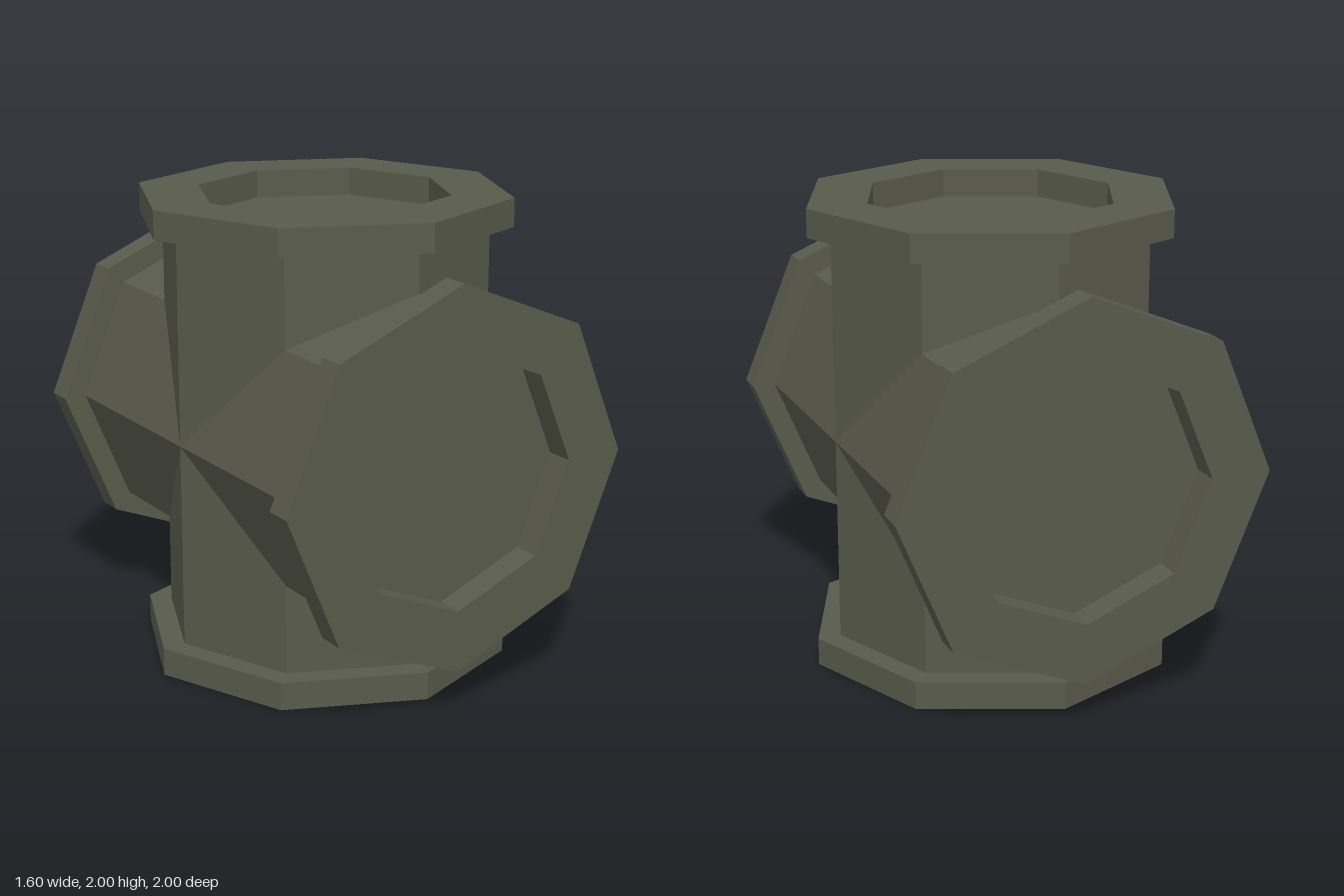
import * as THREE from 'three';

const SIDES = 8, PIPE_R = 0.7, FLANGE_R = 0.8, BORE_R = 0.54, REACH = 1, FLANGE_T = 0.12;

// Octagon outline with a corner on each axis
function octagon(radius) {
  return Array.from({ length: SIDES }, (_, i) => {
    const a = (i / SIDES) * Math.PI * 2;
    return new THREE.Vector2(Math.cos(a) * radius, Math.sin(a) * radius);
  });
}

// Pipe arm along +y whose inner end is mitred at 45 degrees to meet its neighbours
function pipeGeometry() {
  const geo = new THREE.CylinderGeometry(PIPE_R, PIPE_R, 1, SIDES, 1, true);
  const p = geo.attributes.position;
  for (let i = 0; i < p.count; i++) {
    p.setY(i, p.getY(i) > 0 ? REACH - FLANGE_T : Math.abs(p.getZ(i)));
  }
  const flat = geo.toNonIndexed();
  flat.computeVertexNormals();
  return flat;
}

// Octagonal ring with a straight-walled recess
function flangeGeometry() {
  const shape = new THREE.Shape(octagon(FLANGE_R));
  shape.holes.push(new THREE.Path(octagon(BORE_R)));
  return new THREE.ExtrudeGeometry(shape, { depth: FLANGE_T, bevelEnabled: false })
    .rotateX(-Math.PI / 2)
    .translate(0, REACH - FLANGE_T, 0);
}

// Closed floor of the recess
function floorGeometry() {
  return new THREE.CircleGeometry(BORE_R, SIDES)
    .rotateX(-Math.PI / 2)
    .translate(0, REACH - FLANGE_T, 0);
}

export function createModel() {
  const model = new THREE.Group();
  model.name = 'pipeCross';
  const olive = new THREE.MeshStandardMaterial({ color: 0x585a4a });
  olive.name = 'dark olive';

  const parts = { pipe: pipeGeometry(), flange: flangeGeometry(), recessFloor: floorGeometry() };

  // Four identical arms: up, front, down, back
  ['top', 'front', 'bottom', 'back'].forEach((side, i) => {
    const arm = new THREE.Group();
    arm.name = `${side}Arm`;
    for (const [name, geo] of Object.entries(parts)) {
      const mesh = new THREE.Mesh(geo, olive);
      mesh.name = `${side} ${name}`;
      arm.add(mesh);
    }
    arm.rotation.x = (i * Math.PI) / 2;
    arm.position.y = 1;
    model.add(arm);
  });
  return model;
}
